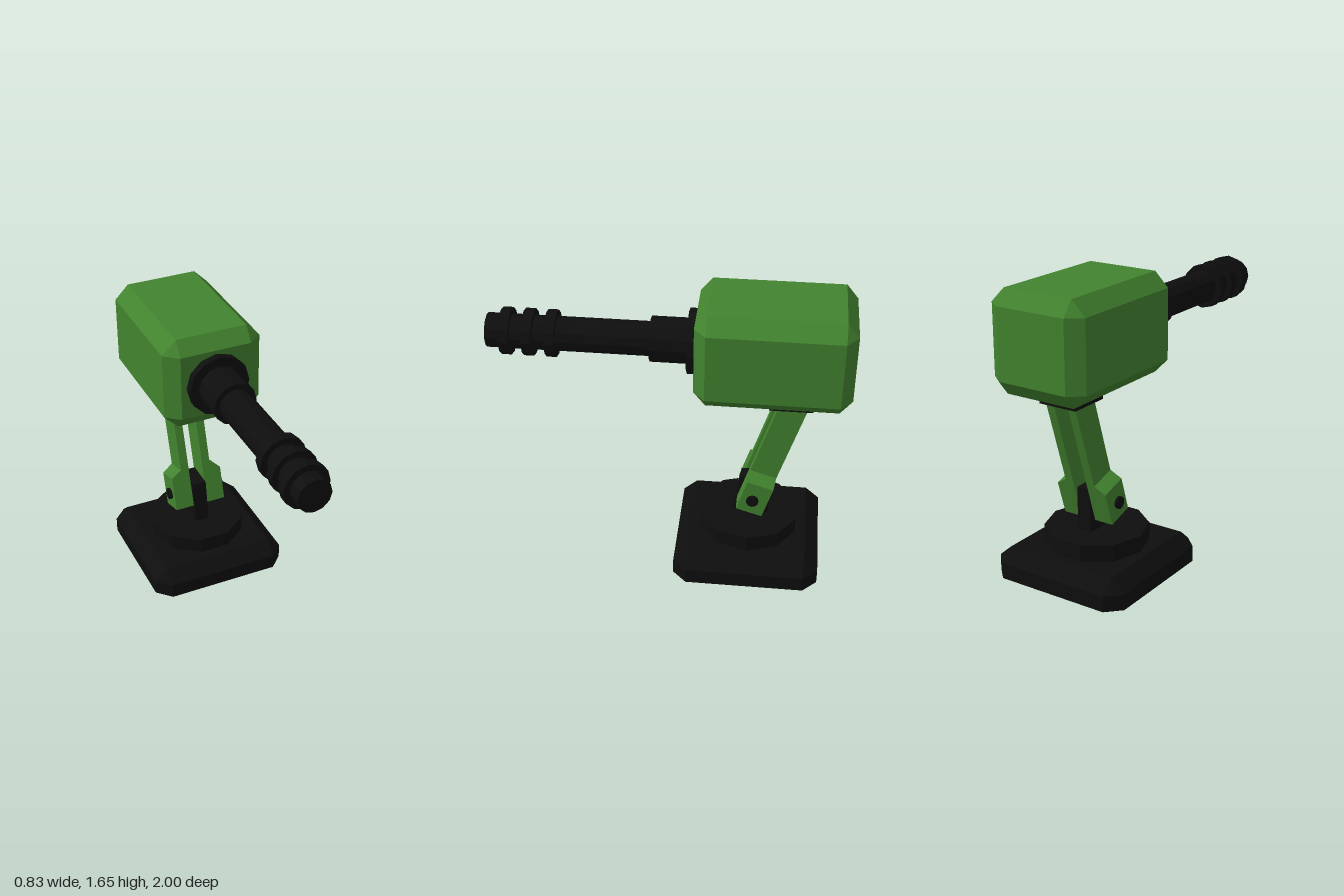
import * as THREE from 'three';
import { ConvexGeometry } from 'three/addons/geometries/ConvexGeometry.js';

export function createModel() {
  const model = new THREE.Group();
  model.name = 'turret';

  const green = new THREE.MeshStandardMaterial({ color: 0x42832f, flatShading: true });
  green.name = 'green paint';
  const black = new THREE.MeshStandardMaterial({ color: 0x0e0e0e, flatShading: true });
  black.name = 'black metal';

  const add = (name, geometry, material, x, y, z) => {
    const mesh = new THREE.Mesh(geometry, material);
    mesh.name = name;
    mesh.position.set(x, y, z);
    model.add(mesh);
    return mesh;
  };

  // Chamfered block: three points at each corner; the underside may stay sharp
  const chamferBox = (hx, hy, hz, bx, by, bz, sharpBottom = false) => {
    const points = [];
    for (const sx of [-1, 1]) for (const sy of [-1, 1]) for (const sz of [-1, 1]) {
      const sharp = sharpBottom && sy < 0;
      const y = sharp ? hy : hy - by;
      points.push(
        new THREE.Vector3(sx * hx, sy * y, sz * (hz - bz)),
        new THREE.Vector3(sx * (hx - bx), sy * y, sz * hz));
      if (!sharp) points.push(new THREE.Vector3(sx * (hx - bx), sy * hy, sz * (hz - bz)));
    }
    return new ConvexGeometry(points);
  };

  // Base, turntable and hinge post
  add('base', chamferBox(0.416, 0.08, 0.416, 0.08, 0.07, 0.08, true), black, 0, 0.08, -0.475);
  const table = new THREE.CylinderGeometry(0.29, 0.29, 0.105, 10).rotateY(Math.PI / 2);
  add('turntable', table, black, 0, 0.2025, -0.475);

  // Post profile is drawn in (-z, y) and extruded across x
  const post = new THREE.Shape([[0.38, 0.25], [0.59, 0.25], [0.59, 0.505], [0.42, 0.505]]
    .map(([x, y]) => new THREE.Vector2(x, y)));
  const postGeometry = new THREE.ExtrudeGeometry(post, { depth: 0.086, bevelEnabled: false })
    .translate(0, 0, -0.043).rotateY(Math.PI / 2);
  add('hingePost', postGeometry, black, 0, 0, 0);

  const pin = new THREE.CylinderGeometry(0.035, 0.035, 0.35, 12).rotateZ(Math.PI / 2);
  add('hingePin', pin, black, 0, 0.43, -0.495);

  // Two leaning arms with thickened feet
  for (const side of [1, -1]) {
    const profile = new THREE.Shape([
      [0.045, 0], [0.159, 0], [0.159, 0.203], [0.095, 0.245], [0.095, 0.76], [0.045, 0.76],
    ].map(([x, y]) => new THREE.Vector2(side * x, y)));
    const geometry = new THREE.ExtrudeGeometry(profile, { depth: 0.156, bevelEnabled: false })
      .translate(0, 0, -0.078);
    const arm = add(side > 0 ? 'leftArm' : 'rightArm', geometry, green, 0, 0.34, -0.477);
    arm.rotation.x = -0.3;
  }

  // Mount plate and housing
  add('mountPlate', new THREE.BoxGeometry(0.23, 0.08, 0.24), black, 0, 1.07, -0.68);
  add('housing', chamferBox(0.29, 0.276, 0.425, 0.081, 0.081, 0.065), green, 0, 1.379, -0.575);

  // Barrel sections along z
  const barrelPart = (name, radius, z0, z1) => add(name,
    new THREE.CylinderGeometry(radius, radius, z1 - z0, 12).rotateX(Math.PI / 2),
    black, 0, 1.375, (z0 + z1) / 2);
  barrelPart('barrelFlange', 0.179, -0.17, -0.105);
  barrelPart('barrelCollar', 0.125, -0.12, 0.1);
  barrelPart('barrel', 0.095, 0.08, 1);
  for (const z of [0.64, 0.765, 0.89]) barrelPart('barrelRing', 0.13, z - 0.028, z + 0.028);

  return model;
}
